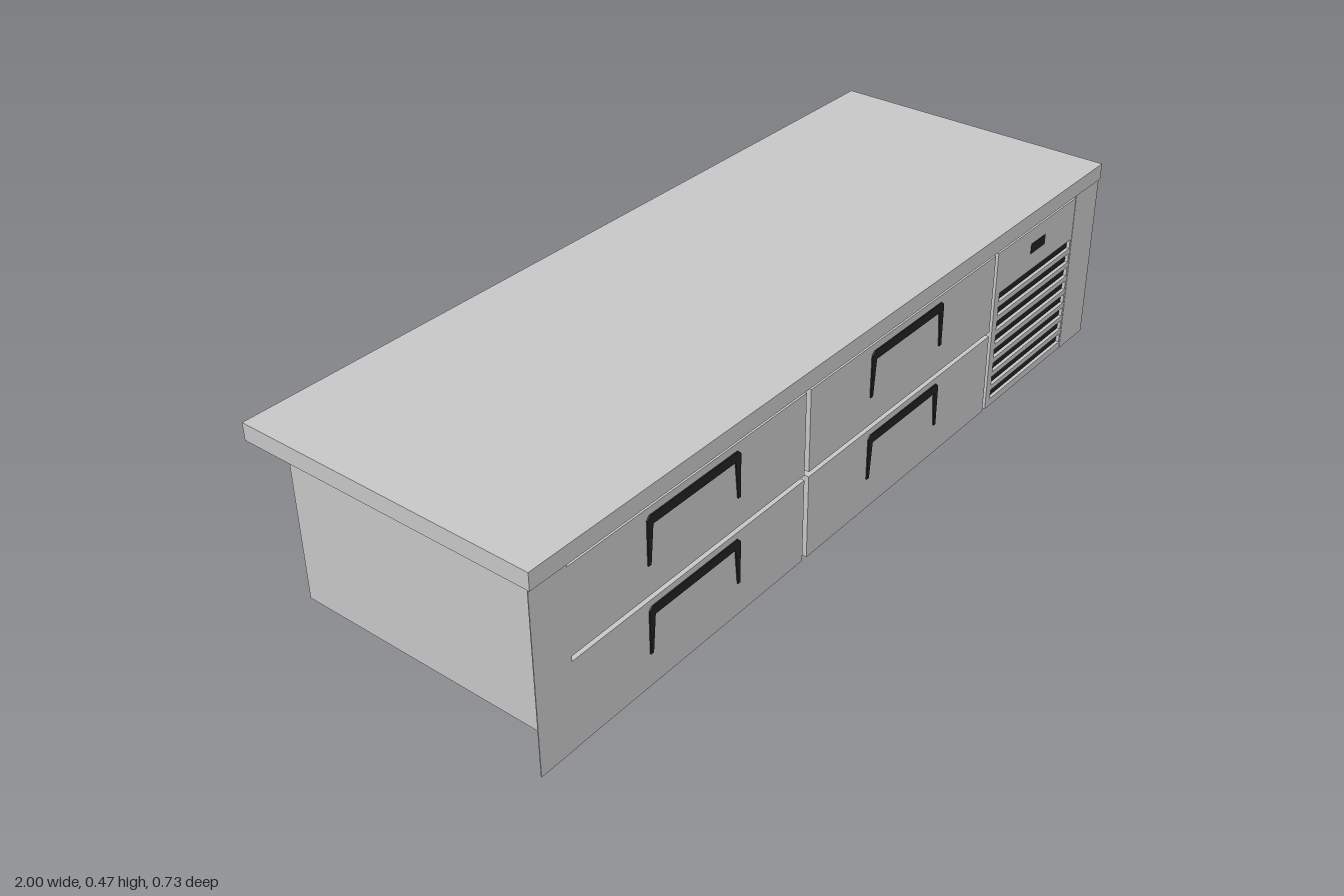
import * as THREE from 'three';

const steel = new THREE.MeshStandardMaterial({ color: 0xcccccc });
const black = new THREE.MeshStandardMaterial({ color: 0x222222 });

// Box given by its lower and upper corners
function box(name, x0, x1, y0, y1, z0, z1, material = steel) {
  const mesh = new THREE.Mesh(new THREE.BoxGeometry(x1 - x0, y1 - y0, z1 - z0), material);
  mesh.position.set((x0 + x1) / 2, (y0 + y1) / 2, (z0 + z1) / 2);
  mesh.name = name;
  return mesh;
}

function polygon(points, Type = THREE.Shape) {
  return new Type(points.map(([x, y]) => new THREE.Vector2(x, y)));
}

function rect(x0, x1, y0, y1, Type) {
  return polygon([[x0, y0], [x1, y0], [x1, y1], [x0, y1]], Type);
}

function extrude(name, shape, z0, z1, material = steel) {
  const geometry = new THREE.ExtrudeGeometry(shape, { depth: z1 - z0, bevelEnabled: false });
  const mesh = new THREE.Mesh(geometry, material);
  mesh.position.z = z0;
  mesh.name = name;
  return mesh;
}

// Inverted U pull with legs that taper downwards
function handle(x0, y0) {
  const w = 0.275, h = 0.11;
  const shape = polygon([
    [0, 0], [0.008, 0], [0.016, h - 0.022], [w - 0.016, h - 0.022],
    [w - 0.008, 0], [w, 0], [w, h - 0.008], [w - 0.008, h], [0.008, h], [0, h - 0.008],
  ]);
  const mesh = extrude('handle', shape, 0.355, 0.363, black);
  mesh.position.x = x0;
  mesh.position.y = y0;
  return mesh;
}

export function createModel() {
  const model = new THREE.Group();
  model.name = 'drawerCounter';
  const back = 0.312, front = 0.36;

  // Cabinet and worktop
  model.add(box('cabinet', -0.91, 0.91, 0, 0.435, -0.365, 0.307));
  model.add(box('worktop', -1, 1, 0.435, 0.475, -0.365, 0.365));

  // Thin front wings reaching out to the ends of the worktop
  model.add(box('rightWing', -1, -0.905, 0.01, 0.435, 0.359, 0.361));
  model.add(box('leftWing', 0.89, 1, 0.01, 0.435, 0.359, 0.361));

  // Two columns of two drawers
  for (const [x0, x1, handleX] of [[-0.905, -0.205, -0.695], [-0.19, 0.52, 0.025]]) {
    for (const [y0, y1, handleY] of [[0.01, 0.215, 0.09], [0.227, 0.425, 0.298]]) {
      const drawer = new THREE.Group();
      drawer.name = 'drawer';
      drawer.add(box('drawerFront', x0, x1, y0, y1, back, front), handle(handleX, handleY));
      model.add(drawer);
    }
  }

  // Machine panel with vent slots in front of a dark backing
  const panel = rect(0.532, 0.89, 0.01, 0.425);
  for (let i = 0; i < 8; i++) {
    const y = 0.029 + i * 0.0375;
    panel.holes.push(rect(0.552, 0.884, y, y + 0.024, THREE.Path));
  }
  model.add(extrude('ventPanel', panel, back, front));
  model.add(box('ventBacking', 0.545, 0.887, 0.02, 0.33, 0.33, 0.352, black));
  model.add(box('display', 0.685, 0.75, 0.36, 0.386, 0.35, 0.361, black));

  return model;
}
